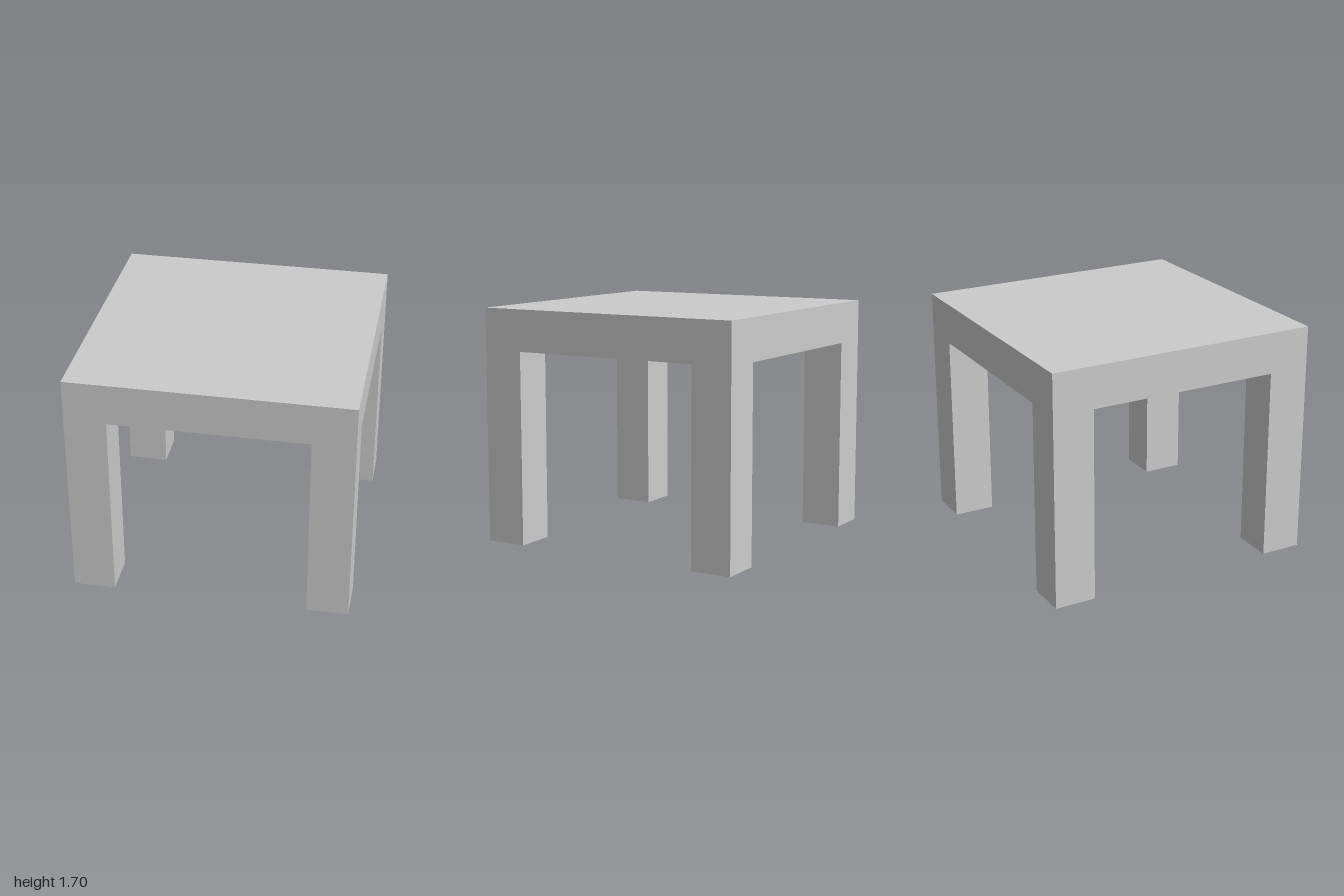
import * as THREE from 'three';

const SIZE = 2, HEIGHT = 1.7, SLAB = 0.3, LEG = 0.3;

export function createModel() {
  const table = new THREE.Group();
  table.name = 'table';
  const material = new THREE.MeshStandardMaterial({ color: 0xcccccc, flatShading: true });

  function addBox(name, w, h, d, x, y, z) {
    const mesh = new THREE.Mesh(new THREE.BoxGeometry(w, h, d), material);
    mesh.name = name;
    mesh.position.set(x, y, z);
    table.add(mesh);
  }

  // Thick square top
  addBox('tableTop', SIZE, SLAB, SIZE, 0, HEIGHT - SLAB / 2, 0);

  // Four square legs, flush with the corners of the top
  const legHeight = HEIGHT - SLAB;
  const offset = (SIZE - LEG) / 2;
  for (const [zName, sz] of [['front', 1], ['back', -1]]) {
    for (const [xName, sx] of [['Left', 1], ['Right', -1]]) {
      addBox(`${zName}${xName}Leg`, LEG, legHeight, LEG, sx * offset, legHeight / 2, sz * offset);
    }
  }
  return table;
}
